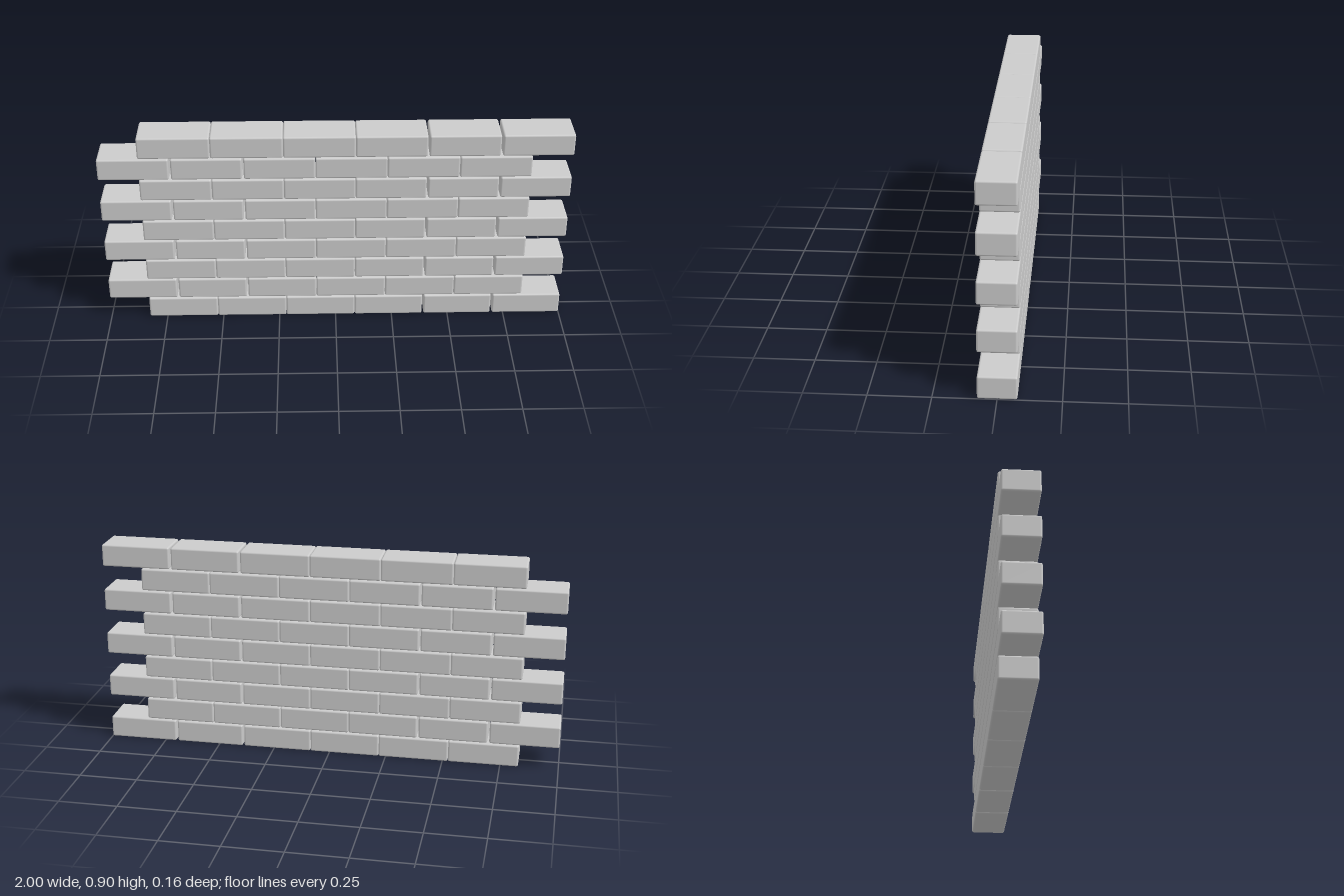
import * as THREE from 'three';
import { RoundedBoxGeometry } from 'three/addons/geometries/RoundedBoxGeometry.js';

const ROWS = 9;
const PITCH_Y = 0.1004;
const BRICK_H = 0.0968;
const DEPTH = 0.156;
const EDGE = 0.008;
// start and end of each brick in a course: tight joints first, two open joints last
const SPANS = [
  [-0.828, -0.5245], [-0.5235, -0.2195], [-0.2185, 0.0845],
  [0.0855, 0.386], [0.393, 0.692], [0.7, 1],
];

export function createModel() {
  const wall = new THREE.Group();
  wall.name = 'brickWall';
  const material = new THREE.MeshStandardMaterial({ color: 0xcccccc });
  const bricks = SPANS.map(([a, b]) => new RoundedBoxGeometry(b - a, BRICK_H, DEPTH, 2, EDGE));

  for (let r = 0; r < ROWS; r++) {
    const course = new THREE.Group();
    course.name = `course${r + 1}`;
    course.position.y = BRICK_H / 2 + r * PITCH_Y;
    // every other course is turned end for end, giving the running bond
    if (r % 2) course.rotation.y = Math.PI;
    SPANS.forEach(([a, b], i) => {
      const brick = new THREE.Mesh(bricks[i], material);
      brick.name = `brick${i + 1}`;
      brick.position.x = (a + b) / 2;
      course.add(brick);
    });
    wall.add(course);
  }
  return wall;
}
